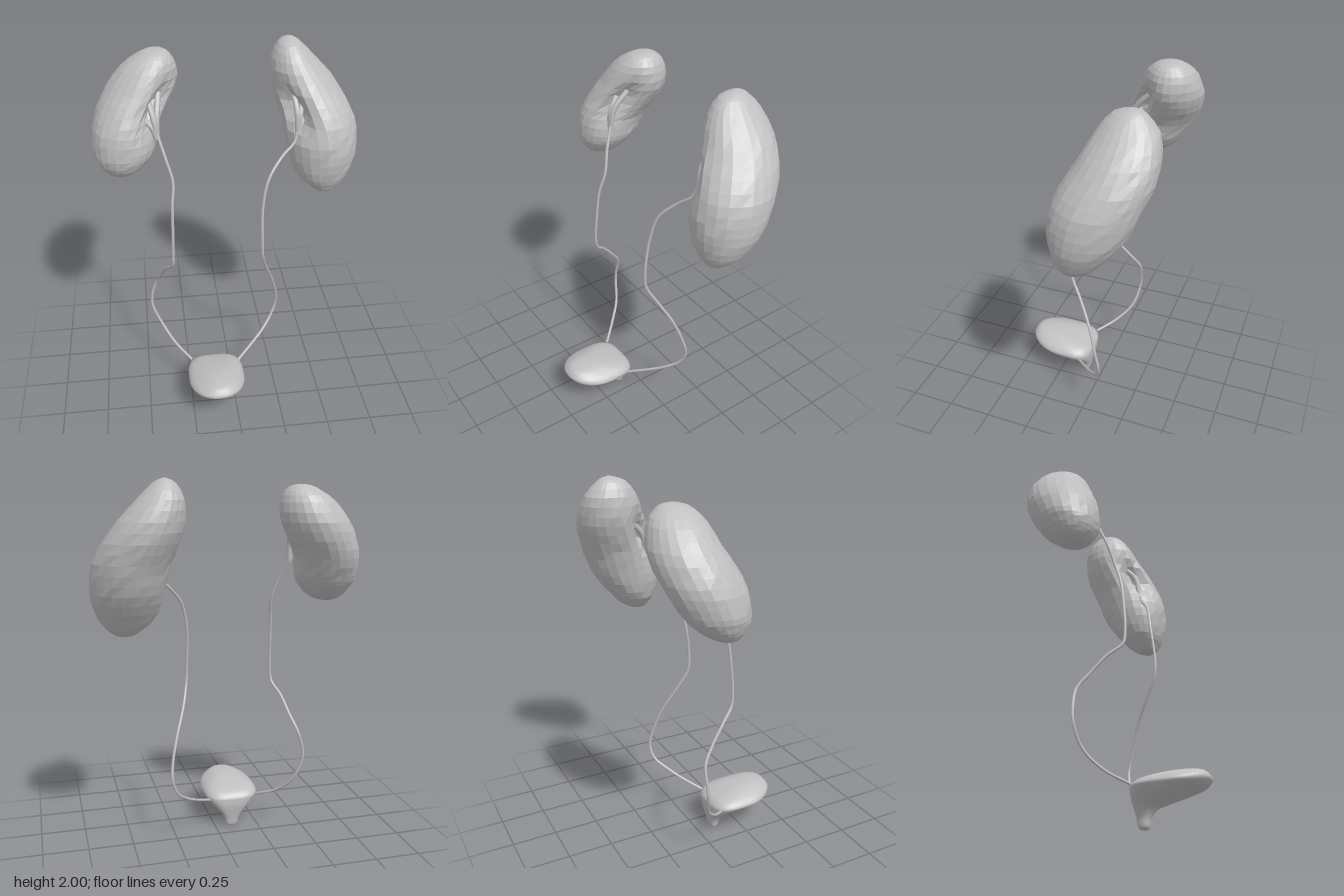
import * as THREE from 'three';
import { mergeVertices } from 'three/addons/utils/BufferGeometryUtils.js';

const tissue = new THREE.MeshStandardMaterial({ color: 0xbfbfbf });
tissue.name = 'grey tissue';

function part(geometry, name) {
  const mesh = new THREE.Mesh(geometry, tissue);
  mesh.name = name;
  return mesh;
}

function seeded(seed) {
  return () => (seed = (seed * 16807) % 2147483647) / 2147483647;
}

// Closed skin through level slices, bottom to top: [y, xMin, xMax, zMin, zMax].
// outline(angle, y) gives the unit plan of a slice as [x, z].
function loft(rows, rings, sides, outline) {
  const xs = new THREE.CatmullRomCurve3(rows.map(r => new THREE.Vector3(r[1], r[0], r[2])));
  const zs = new THREE.CatmullRomCurve3(rows.map(r => new THREE.Vector3(r[3], r[0], r[4])));
  const pos = [], index = [];
  for (let j = 0; j <= rings; j++) {
    const X = xs.getPoint(j / rings), Z = zs.getPoint(j / rings);
    for (let i = 0; i < sides; i++) {
      const [c, s] = outline((i / sides) * Math.PI * 2, X.y);
      pos.push((X.x + X.z) / 2 + c * (X.z - X.x) / 2, X.y, (Z.x + Z.z) / 2 + s * (Z.z - Z.x) / 2);
      if (j < rings) {
        const a = j * sides + i, b = j * sides + (i + 1) % sides;
        index.push(a, a + sides, b, b, a + sides, b + sides);
      }
    }
  }
  const g = new THREE.BufferGeometry();
  g.setAttribute('position', new THREE.Float32BufferAttribute(pos, 3));
  g.setIndex(index);
  return mergeVertices(g);
}

// Faceted kidney with a hollow at height hilumY in direction hilumAngle
function kidney(rows, hilumY, hilumAngle, seed) {
  const rand = seeded(seed);
  const g = loft(rows, 24, 24, (a, y) => {
    let d = a - hilumAngle;
    d = Math.atan2(Math.sin(d), Math.cos(d));
    const hollow = 0.45 * Math.exp(-((d / 0.42) ** 2) - ((y - hilumY) / 0.1) ** 2);
    const r = (1 - hollow) * (0.985 + 0.03 * rand());
    return [Math.cos(a) * r, Math.sin(a) * r];
  }).toNonIndexed();
  g.computeVertexNormals();
  return g;
}

function tube(points, radius, segments) {
  const curve = new THREE.CatmullRomCurve3(points.map(p => new THREE.Vector3(...p)));
  return new THREE.TubeGeometry(curve, segments, radius, 8);
}

export function createModel() {
  const model = new THREE.Group();
  model.name = 'urinarySystem';

  // Kidneys
  model.add(part(kidney([
    [1.21, 0.52, 0.52, -0.08, -0.08],
    [1.22, 0.47, 0.57, -0.13, -0.03],
    [1.25, 0.43, 0.61, -0.18, -0.01],
    [1.3, 0.375, 0.65, -0.23, 0.015],
    [1.4, 0.335, 0.69, -0.31, 0.035],
    [1.5, 0.315, 0.697, -0.365, 0.037],
    [1.6, 0.295, 0.683, -0.4, 0.015],
    [1.7, 0.26, 0.635, -0.435, -0.03],
    [1.8, 0.24, 0.565, -0.443, -0.09],
    [1.9, 0.245, 0.47, -0.42, -0.14],
    [1.97, 0.28, 0.4, -0.36, -0.2],
    [1.99, 0.31, 0.37, -0.33, -0.25],
    [2.0, 0.34, 0.34, -0.29, -0.29],
  ], 1.67, Math.PI * 0.75, 11), 'leftKidney'));
  model.add(part(kidney([
    [1.36, -0.57, -0.57, -0.1, -0.1],
    [1.37, -0.62, -0.51, -0.15, -0.05],
    [1.4, -0.655, -0.45, -0.21, -0.01],
    [1.45, -0.685, -0.405, -0.27, 0.015],
    [1.5, -0.7, -0.375, -0.31, 0.02],
    [1.6, -0.695, -0.355, -0.37, 0.01],
    [1.7, -0.66, -0.295, -0.41, -0.03],
    [1.8, -0.6, -0.245, -0.42, -0.08],
    [1.9, -0.51, -0.25, -0.39, -0.13],
    [1.95, -0.43, -0.28, -0.34, -0.18],
    [1.965, -0.39, -0.31, -0.31, -0.22],
    [1.97, -0.35, -0.35, -0.27, -0.27],
  ], 1.73, Math.PI * 0.25, 29), 'rightKidney'));

  // Ureters
  model.add(part(tube([
    [0.03, 0.165, 0.11], [0.12, 0.21, 0.03], [0.2, 0.26, -0.04], [0.26, 0.32, -0.1],
    [0.29, 0.4, -0.117], [0.285, 0.5, -0.095], [0.25, 0.64, -0.05], [0.2, 0.78, 0.02],
    [0.17, 0.9, 0.08], [0.165, 1.0, 0.085], [0.167, 1.2, 0.06], [0.2, 1.35, 0.03],
    [0.28, 1.45, -0.03], [0.345, 1.51, -0.06], [0.365, 1.58, -0.08],
  ], 0.008, 110), 'leftUreter'));
  model.add(part(tube([
    [-0.24, 0.185, 0.09], [-0.33, 0.24, -0.01], [-0.4, 0.33, -0.09], [-0.45, 0.45, -0.12],
    [-0.45, 0.52, -0.125], [-0.42, 0.63, -0.122], [-0.39, 0.71, -0.07], [-0.36, 0.81, 0.01],
    [-0.325, 0.88, 0.08], [-0.32, 0.95, 0.09], [-0.315, 1.1, 0.08], [-0.31, 1.25, 0.06],
    [-0.3, 1.36, 0.025], [-0.33, 1.48, -0.01], [-0.365, 1.6, -0.06],
  ], 0.008, 110), 'rightUreter'));

  // Collecting branches inside each hollow
  for (const [side, sx, x, y, z] of [['left', 1, 0.365, 1.57, -0.08], ['right', -1, -0.367, 1.59, -0.06]]) {
    for (const [dx, dy, dz] of [[-0.02, 0.19, -0.1], [0.03, 0.15, -0.06], [0.06, 0.07, -0.04]]) {
      const path = [[x, y - 0.02, z], [x + sx * dx * 0.3, y + dy * 0.5, z + dz * 0.2],
        [x + sx * dx, y + dy, z + dz]];
      model.add(part(tube(path, 0.015, 10), side + 'RenalPelvis'));
    }
  }

  // Bladder: squarer at the back, tapering forward, with a neck below
  const bladder = loft([
    [0, -0.1, -0.1, 0.105, 0.105],
    [0.002, -0.13, -0.07, 0.085, 0.13],
    [0.05, -0.145, -0.055, 0.075, 0.14],
    [0.1, -0.18, -0.02, 0.065, 0.17],
    [0.13, -0.215, 0.01, 0.06, 0.25],
    [0.16, -0.25, 0.04, 0.06, 0.35],
    [0.185, -0.27, 0.05, 0.065, 0.425],
    [0.21, -0.255, 0.035, 0.09, 0.448],
    [0.235, -0.215, 0, 0.16, 0.438],
    [0.255, -0.165, -0.045, 0.25, 0.41],
    [0.263, -0.11, -0.11, 0.33, 0.33],
  ], 40, 40, a => {
    const c = Math.cos(a), s = Math.sin(a), p = s < 0 ? 0.6 : 0.88;
    return [Math.sign(c) * Math.abs(c) ** p, Math.sign(s) * Math.abs(s) ** p];
  });
  bladder.computeVertexNormals();
  model.add(part(bladder, 'bladder'));

  return model;
}
